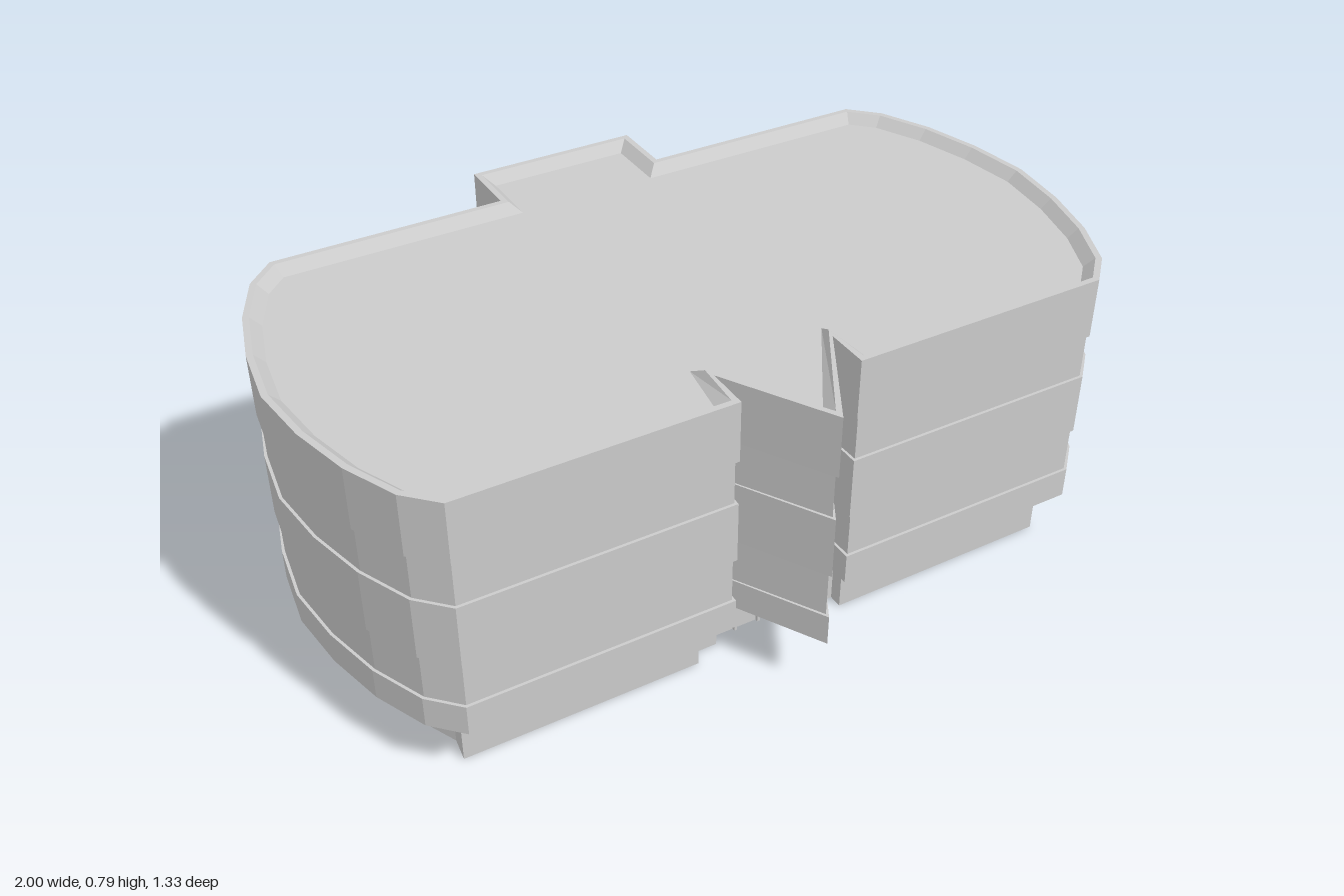
import * as THREE from 'three';

const material = new THREE.MeshStandardMaterial({ color: 0xcccccc, flatShading: true, side: THREE.DoubleSide });

// Right half of a bowed end, from the front corner round to the back corner
const bow = [[0.81, 0.51], [0.88, 0.44], [0.94, 0.31], [0.98, 0.16], [1, 0]];
const end = [...bow, ...bow.slice(0, -1).reverse().map(([x, z]) => [x, -z])];
const mirrorX = (points) => points.map(([x, z]) => [-x, z]).reverse();

// Plan of the upper floors: pointed bay at the front, square bay at the back
const rightHalf = [[0.15, 0.4], [0.15, 0.51], ...end, [0.22, -0.51], [0.22, -0.67]];
const plan = [[0, 0.66], ...rightHalf, ...mirrorX(rightHalf)];

// Plan of the set-back ground floor, with a shallow doorway recess front and back
const RECESS_Z = 0.37;
const baseEnd = end.map(([x, z]) => [x * 0.9 + (Math.abs(z) > 0.5 ? 0.07 : 0), z * 0.84]);
const baseHalf = [[0.2, RECESS_Z], [0.2, 0.43], ...baseEnd, [0.2, -0.43], [0.2, -RECESS_Z]];
const basePlan = [...baseHalf, ...mirrorX(baseHalf)];

// Move an outline inwards by d, limiting the reach of sharp corners
function inset(points, d) {
  const n = points.length;
  const normal = (a, b) => new THREE.Vector2(b[1] - a[1], a[0] - b[0]).normalize();
  return points.map((p, i) => {
    const n1 = normal(points[(i + n - 1) % n], p);
    const n2 = normal(p, points[(i + 1) % n]);
    const dir = n1.clone().add(n2).normalize();
    const reach = d * Math.min(1 / Math.max(dir.dot(n1), 0.1), 1.8);
    return [p[0] + dir.x * reach, p[1] + dir.y * reach];
  });
}

// Skin of quads between successive outlines, each { points, y }
function loft(levels) {
  const pos = [];
  for (let k = 0; k < levels.length - 1; k++) {
    const lo = levels[k], hi = levels[k + 1], n = lo.points.length;
    for (let i = 0; i < n; i++) {
      const j = (i + 1) % n;
      const at = (l, m) => [l.points[m][0], l.y, l.points[m][1]];
      const a = at(lo, i), b = at(lo, j), c = at(hi, j), d = at(hi, i);
      pos.push(...a, ...b, ...c, ...a, ...c, ...d);
    }
  }
  const geo = new THREE.BufferGeometry();
  geo.setAttribute('position', new THREE.Float32BufferAttribute(pos, 3));
  geo.computeVertexNormals();
  return geo;
}

// Flat horizontal slab face, optionally with a hole
function flat(points, y, hole) {
  const toVec = (list) => list.map(([x, z]) => new THREE.Vector2(x, -z));
  const shape = new THREE.Shape(toVec(points));
  if (hole) shape.holes.push(new THREE.Path(toVec(hole)));
  return new THREE.ShapeGeometry(shape).rotateX(-Math.PI / 2).translate(0, y, 0);
}

function add(parent, name, geometry) {
  const mesh = new THREE.Mesh(geometry, material);
  mesh.name = name;
  parent.add(mesh);
  return mesh;
}

// Door surround and mullions standing in a recess
function makeDoorway(name) {
  const door = new THREE.Group();
  door.name = name;
  const bar = (part, w, h, x, y, depth) =>
    add(door, part, new THREE.BoxGeometry(w, h, depth).translate(x, y, RECESS_Z + depth / 2));
  for (const s of [-1, 1]) bar('doorJamb', 0.07, 0.158, s * 0.165, 0.079, 0.025);
  bar('doorLintel', 0.26, 0.018, 0, 0.149, 0.025);
  for (const x of [-0.065, 0, 0.065]) bar('doorMullion', 0.008, 0.14, x, 0.07, 0.008);
  return door;
}

export function createModel() {
  const building = new THREE.Group();
  building.name = 'building';

  // Ground floor walls and the soffit around them
  add(building, 'groundFloorWall', loft([{ points: basePlan, y: 0 }, { points: basePlan, y: 0.16 }]));
  add(building, 'soffit', flat(plan, 0.16, basePlan));

  // Upper walls: two window strips set slightly back between plain bands
  const strip = inset(plan, 0.007);
  const levels = [];
  const rise = (points, y0, y1) => levels.push({ points, y: y0 }, { points, y: y1 });
  rise(plan, 0.16, 0.24);
  rise(strip, 0.24, 0.36);
  rise(plan, 0.36, 0.52);
  rise(strip, 0.52, 0.635);
  rise(plan, 0.635, 0.79);
  add(building, 'upperWalls', loft(levels));

  // Parapet: narrow cap, then a slope down to the roof
  const roofEdge = inset(plan, 0.04);
  add(building, 'parapet', loft([
    { points: plan, y: 0.79 },
    { points: inset(plan, 0.015), y: 0.79 },
    { points: roofEdge, y: 0.765 },
  ]));
  add(building, 'roof', flat(roofEdge, 0.765));

  // Doorways front and back
  const backDoor = makeDoorway('backDoorway');
  backDoor.rotation.y = Math.PI;
  building.add(makeDoorway('frontDoorway'), backDoor);

  return building;
}
